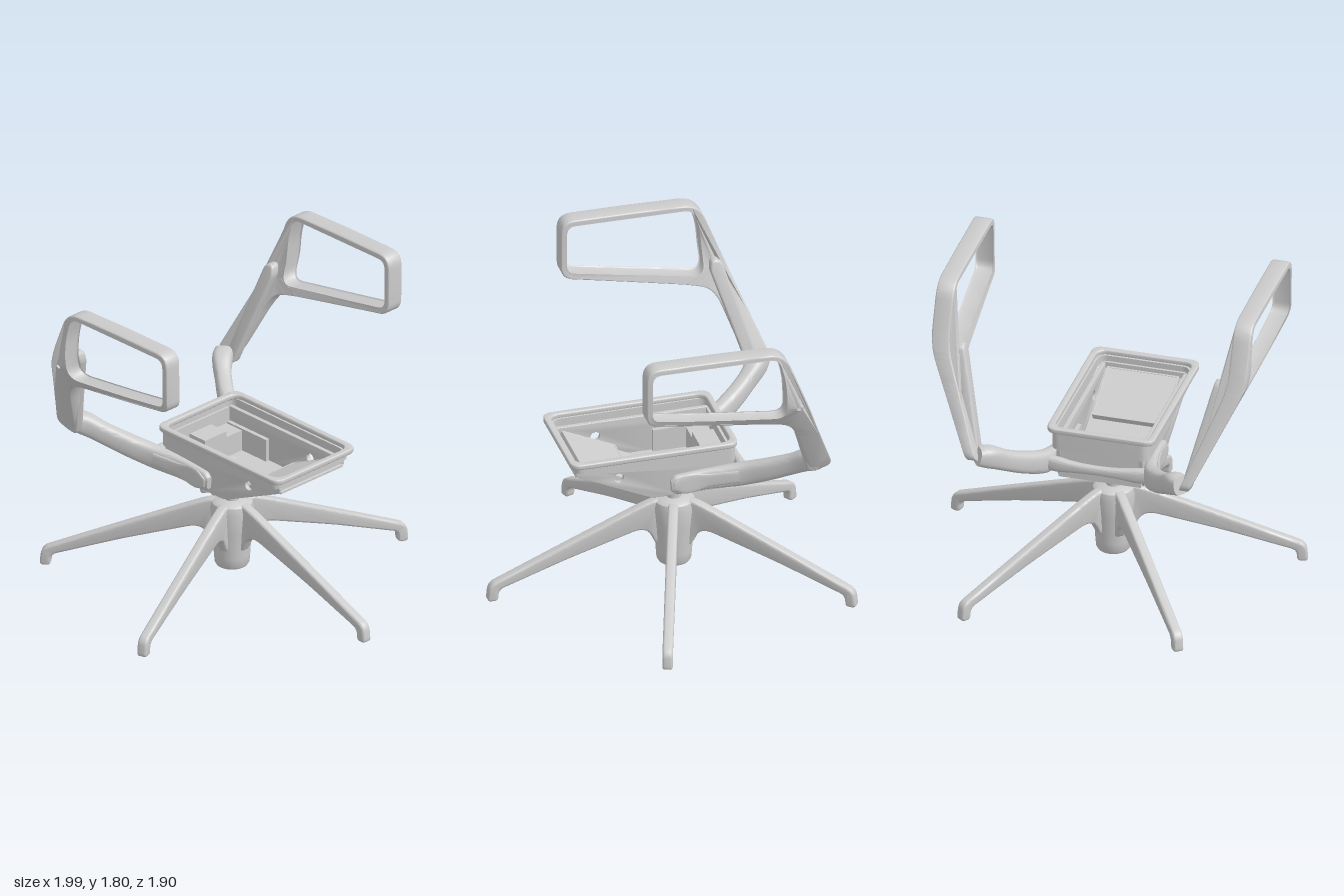
import * as THREE from 'three';
import { toCreasedNormals } from 'three/addons/utils/BufferGeometryUtils.js';

const material = new THREE.MeshStandardMaterial({ color: 0xcccccc, side: THREE.DoubleSide });

function add(parent, name, geometry, x = 0, y = 0, z = 0) {
  const mesh = new THREE.Mesh(geometry, material);
  mesh.name = name;
  mesh.position.set(x, y, z);
  parent.add(mesh);
  return mesh;
}

const box = (parent, name, w, h, d, x, y, z) => add(parent, name, new THREE.BoxGeometry(w, h, d), x, y, z);

// Polygon with rounded corners and short straight runs; each point is [u, v, radius]
function rounded(points, Type = THREE.Shape) {
  const path = new Type();
  const n = points.length;
  points.forEach(([u, v, r = 0.03], i) => {
    const p = new THREE.Vector2(u, v);
    const toward = ([a, b]) => {
      const d = new THREE.Vector2(a - u, b - v);
      return p.clone().add(d.setLength(Math.min(r, d.length() * 0.48)));
    };
    const a = toward(points[(i + n - 1) % n]), b = toward(points[(i + 1) % n]);
    if (i === 0) path.moveTo(a.x, a.y);
    else {
      const from = path.currentPoint.clone(), cuts = Math.ceil(from.distanceTo(a) / 0.06);
      for (let k = 1; k <= cuts; k++) {
        const q = from.clone().lerp(a, k / cuts);
        path.lineTo(q.x, q.y);
      }
    }
    path.quadraticCurveTo(u, v, b.x, b.y);
  });
  path.closePath();
  return path;
}

// Bevelled extrusion centred on its depth
function slab(shape, thickness, bevel) {
  const g = new THREE.ExtrudeGeometry(shape, {
    depth: thickness - 2 * bevel, bevelEnabled: bevel > 0, bevelThickness: bevel,
    bevelSize: bevel, bevelOffset: -bevel, bevelSegments: 3, curveSegments: 8,
  });
  return g.translate(0, 0, bevel - thickness / 2);
}

// Side profile given as [z, y, radius], thickness along x
const flip = pts => pts.map(([z, y, r]) => [-z, y, r]);
function sideSlab(pts, thickness, bevel, holes = []) {
  const shape = rounded(flip(pts));
  shape.holes.push(...holes);
  return slab(shape, thickness, bevel).rotateY(Math.PI / 2);
}

function circleHole(z, y, r) {
  return new THREE.Path().absarc(-z, y, r, 0, Math.PI * 2, true);
}

function bend(g, rule) {
  const p = g.attributes.position;
  const v = new THREE.Vector3();
  for (let i = 0; i < p.count; i++) {
    rule(v.fromBufferAttribute(p, i));
    p.setXYZ(i, v.x, v.y, v.z);
  }
  return toCreasedNormals(g, 0.6);
}

// Rounded beam through stations [x, y, z, halfWidth, halfHeight]
function beam(stations, steps = 40, sides = 24) {
  const path = new THREE.CatmullRomCurve3(stations.map(s => new THREE.Vector3(s[0], s[1], s[2])));
  const size = new THREE.CatmullRomCurve3(stations.map(s => new THREE.Vector3(s[3], s[4], 0)));
  const pos = [], index = [], up = new THREE.Vector3(0, 1, 0);
  const soft = c => Math.sign(c) * Math.abs(c) ** 0.65;
  for (let i = 0; i <= steps; i++) {
    const c = path.getPoint(i / steps), s = size.getPoint(i / steps), t = path.getTangent(i / steps);
    const w = up.clone().cross(t).normalize(), h = t.clone().cross(w);
    for (let j = 0; j < sides; j++) {
      const a = j / sides * Math.PI * 2;
      const p = c.clone().addScaledVector(w, s.x * soft(Math.cos(a))).addScaledVector(h, s.y * soft(Math.sin(a)));
      pos.push(p.x, p.y, p.z);
      const k = i * sides + j, l = i * sides + (j + 1) % sides;
      if (i < steps) index.push(k, l, l + sides, k, l + sides, k + sides);
    }
  }
  const last = steps * sides;
  for (let j = 1; j < sides - 1; j++) index.push(0, j + 1, j, last, last + j, last + j + 1);
  const g = new THREE.BufferGeometry();
  g.setAttribute('position', new THREE.Float32BufferAttribute(pos, 3));
  g.setIndex(index);
  return toCreasedNormals(g, 0.8);
}

// Rounded rectangular ring lying flat, bottom at y = 0
function ring(halfW, z0, z1, wall, height, radius, bevel) {
  const rect = (k, Type) => rounded([[-halfW + k, -z0 - k, radius], [-halfW + k, -z1 + k, radius],
    [halfW - k, -z1 + k, radius], [halfW - k, -z0 - k, radius]], Type);
  const shape = rect(0);
  shape.holes.push(rect(wall, THREE.Path));
  return slab(shape, height, bevel).rotateX(-Math.PI / 2).translate(0, height / 2, 0);
}

function makeBase() {
  const base = new THREE.Group();
  base.name = 'base';
  base.position.z = -0.09;
  const hub = [[0, 0.13], [0.06, 0.13], [0.06, 0.095], [0.085, 0.095], [0.094, 0.11], [0.098, 0.16],
    [0.108, 0.32], [0.118, 0.43], [0.11, 0.47], [0.09, 0.485], [0, 0.485]];
  add(base, 'hub', toCreasedNormals(new THREE.LatheGeometry(hub.map(p => new THREE.Vector2(...p)), 40), 0.7));
  add(base, 'column', new THREE.CylinderGeometry(0.04, 0.04, 0.26, 32), 0, 0.58);
  const profile = [[0.02, 0.484], [0.11, 0.484, 0.05], [0.2, 0.452, 0.08], [0.6, 0.285, 0.1], [1.035, 0.1, 0.04],
    [1.045, 0, 0.022], [0.985, 0, 0.022], [0.98, 0.066, 0.03], [0.6, 0.195, 0.1], [0.16, 0.325, 0.08],
    [0.1, 0.2], [0.02, 0.2]];
  const leg = toCreasedNormals(sideSlab(profile, 0.056, 0.013), 0.6);
  for (let i = 0; i < 5; i++) add(base, 'leg', leg).rotation.y = i * Math.PI * 2 / 5;
  return base;
}

function makeSeatPan() {
  const pan = new THREE.Group();
  pan.name = 'seatPan';
  add(pan, 'rim', toCreasedNormals(ring(0.3, -0.37, 0.565, 0.035, 0.03, 0.06, 0.007), 0.6), 0, 0.9);
  // Skirt under the rim, deeper toward the back
  add(pan, 'skirt', bend(ring(0.272, -0.365, 0.535, 0.018, 0.1, 0.05, 0), v => {
    const drop = 0.045 + 0.055 * Math.min(1, Math.max(0, (0.53 - v.z) / 0.55));
    v.y = 0.905 - (0.1 - v.y) / 0.1 * drop;
  }));
  // Housing walls with a round side hole
  const wall = [[0.525, 0.87], [0.525, 0.825, 0.02], [0.1, 0.63, 0.04], [-0.33, 0.63, 0.02],
    [-0.36, 0.8, 0.02], [-0.36, 0.87]];
  const side = toCreasedNormals(sideSlab(wall, 0.024, 0.004, [circleHole(0.285, 0.785, 0.026)]), 0.5);
  for (const s of [-1, 1]) {
    add(pan, 'housingSide', side, s * 0.23);
    box(pan, 'innerRib', 0.04, 0.13, 0.3, s * 0.215, 0.72, -0.18);
  }
  box(pan, 'frontWall', 0.46, 0.055, 0.02, 0, 0.845, 0.513);
  box(pan, 'rearWall', 0.46, 0.23, 0.02, 0, 0.75, -0.343);
  box(pan, 'floor', 0.46, 0.02, 0.46, 0, 0.645, -0.11);
  box(pan, 'underPlate', 0.34, 0.012, 0.36, 0, 0.632, -0.13);
  box(pan, 'rearBlock', 0.4, 0.12, 0.12, 0, 0.715, -0.275);
  box(pan, 'rearStep', 0.16, 0.04, 0.12, 0, 0.79, -0.275);
  add(pan, 'postHead', new THREE.SphereGeometry(0.042, 24, 16), 0, 0.69, -0.1);

  // Sloping front floor with a pocket open from below
  const slope = new THREE.Group();
  slope.name = 'slopingFloor';
  slope.position.set(0, 0.635, 0.1);
  slope.rotation.x = 1.145;
  const rect = (x, a, b, Type) => rounded([[-x, a, 0.01], [x, a, 0.01], [x, b, 0.01], [-x, b, 0.01]], Type);
  const plate = rect(0.235, 0, 0.47);
  plate.holes.push(rect(0.192, 0.12, 0.43, THREE.Path));
  add(slope, 'plate', slab(plate, 0.018, 0.002), 0, 0, -0.009);
  const lip = rect(0.202, 0.11, 0.44);
  lip.holes.push(rect(0.192, 0.12, 0.43, THREE.Path));
  add(slope, 'pocketWall', slab(lip, 0.04, 0.002), 0, 0, -0.033);
  box(slope, 'pocketPanel', 0.39, 0.32, 0.01, 0, 0.275, -0.046);
  pan.add(slope);
  return pan;
}

function makeArm() {
  const arm = new THREE.Group();
  arm.name = 'arm';
  add(arm, 'supportBeam', beam([[0.255, 0.7, 0, 0.018, 0.035], [0.255, 0.702, -0.03, 0.026, 0.056],
    [0.26, 0.714, -0.2, 0.028, 0.06], [0.295, 0.735, -0.38, 0.042, 0.064], [0.37, 0.785, -0.51, 0.045, 0.06],
    [0.45, 0.845, -0.62, 0.045, 0.056], [0.52, 0.9, -0.7, 0.055, 0.06], [0.57, 0.915, -0.735, 0.055, 0.05]]));
  // Raised cover on the outer face of the beam
  add(arm, 'beamCover', beam([[0.28, 0.703, -0.015, 0.006, 0.025], [0.281, 0.705, -0.04, 0.007, 0.038],
    [0.288, 0.718, -0.2, 0.007, 0.038], [0.33, 0.738, -0.36, 0.008, 0.036]], 16));

  // Upright and armrest loop share one outline
  const outline = [[0.312, 1.8, 0.08], [-0.1, 1.797], [-0.455, 1.787, 0.09], [-0.53, 1.6, 0.05], [-0.6, 1.42],
    [-0.66, 1.26], [-0.795, 0.915, 0.04], [-0.7, 0.865, 0.04], [-0.645, 0.955, 0.04], [-0.555, 1.215, 0.06],
    [-0.5, 1.3, 0.06], [-0.38, 1.33, 0.06], [0, 1.398], [0.312, 1.455, 0.06]];
  const opening = rounded(flip([[0.288, 1.775, 0.06], [-0.43, 1.768, 0.06], [-0.47, 1.62, 0.05],
    [-0.49, 1.35, 0.09], [0, 1.427], [0.288, 1.477, 0.05]]), THREE.Path);
  const frame = sideSlab(outline, 0.1, 0.008, [opening, circleHole(-0.545, 1.42, 0.022)]);
  // Straight above, leaning inward and thinning below, with a soft knee between
  add(arm, 'armrestFrame', bend(frame, v => {
    const d = v.y < 1.37 ? 1.46 - v.y : Math.max(0, 1.55 - v.y) ** 2 / 0.36;
    v.x = 0.83 - 0.43 * d + v.x * (1 - 0.8 * d);
  }));
  // Pad on the inner face of the upright
  const pad = [[-0.735, 0.885, 0.03], [-0.665, 0.87, 0.03], [-0.58, 1.15], [-0.495, 1.42, 0.02],
    [-0.505, 1.48, 0.03], [-0.56, 1.47, 0.03], [-0.65, 1.17]];
  add(arm, 'uprightPad', bend(sideSlab(pad, 0.055, 0.01), v => { v.x += 0.59 + 0.24 * (v.y - 0.9); }));
  return arm;
}

export function createModel() {
  const chair = new THREE.Group();
  chair.name = 'chairFrame';
  chair.add(makeBase(), makeSeatPan());
  add(chair, 'rearCrossbar', beam([[-0.3, 0.74, -0.39, 0.03, 0.045], [-0.2, 0.735, -0.4, 0.028, 0.04],
    [0.2, 0.735, -0.4, 0.028, 0.04], [0.3, 0.74, -0.39, 0.03, 0.045]], 16));
  for (const s of [1, -1]) {
    const arm = makeArm();
    arm.scale.x = s;
    arm.name = s > 0 ? 'leftArm' : 'rightArm';
    chair.add(arm);
  }
  return chair;
}
